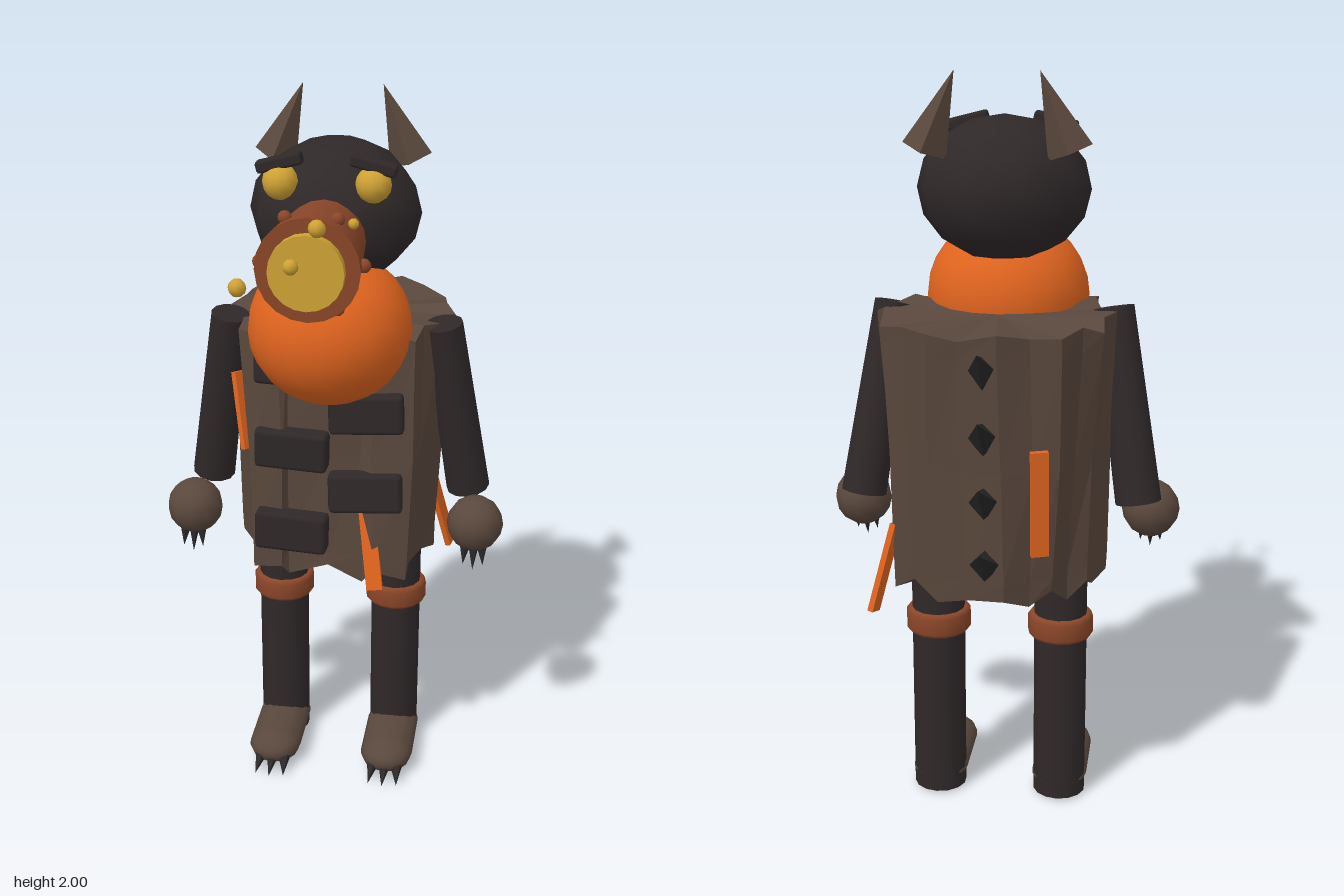
import * as THREE from 'three';
import { RoundedBoxGeometry } from 'three/addons/geometries/RoundedBoxGeometry.js';

const mat = (name, color) => {
  const m = new THREE.MeshStandardMaterial({ color });
  m.name = name;
  return m;
};
const V = (x, y, z) => new THREE.Vector3(x, y, z);
const flat = (g) => {
  const f = g.index ? g.toNonIndexed() : g;
  f.computeVertexNormals();
  return f;
};

export function createModel() {
  const black = mat('charcoal', 0x2f2829);
  const spikeDark = mat('spikeBlack', 0x2a2829);
  const brown = mat('barkBrown', 0x5a483d);
  const rust = mat('rust', 0x8a4629);
  const orange = mat('orange', 0xe0641f);
  const gold = mat('gold', 0xcfa234);

  const root = new THREE.Group();
  root.name = 'hornedCreature';
  const add = (name, geo, material, x = 0, y = 0, z = 0) => {
    const m = new THREE.Mesh(geo, material);
    m.name = name;
    m.position.set(x, y, z);
    root.add(m);
    return m;
  };
  const ball = (name, r, material, x, y, z, w = 12, h = 8) =>
    add(name, new THREE.SphereGeometry(r, w, h), material, x, y, z);
  // Aligns a y-up geometry of the right length between two points
  const between = (name, geo, material, a, b) => {
    const m = add(name, geo, material);
    m.position.copy(a).add(b).multiplyScalar(0.5);
    m.quaternion.setFromUnitVectors(V(0, 1, 0), b.clone().sub(a).normalize());
    return m;
  };
  const spike = (name, r, sides, material, a, b) =>
    between(name, flat(new THREE.ConeGeometry(r, a.distanceTo(b), sides)), material, a, b);

  // Trunk-like body: outline (x, z) lofted downward with pleats and ragged rims
  const outline = [
    [-0.24, 0.05], [-0.14, 0.07], [-0.12, 0.05], [0.0, 0.06], [0.1, 0.05], [0.13, 0.07], [0.24, 0.05],
    [0.25, -0.03], [0.285, -0.1], [0.315, -0.19], [0.29, -0.24], [0.285, -0.35], [0.22, -0.41],
    [0.145, -0.49], [0.06, -0.5], [-0.045, -0.525], [-0.12, -0.48], [-0.19, -0.47], [-0.23, -0.39],
    [-0.28, -0.35], [-0.28, -0.25], [-0.315, -0.17], [-0.27, -0.09], [-0.245, -0.03],
  ];
  const n = outline.length;
  const rows = [0, 0.08, 0.5, 0.92, 1].map((t) => outline.map(([x, z], i) => {
    const wob = 0.008 * Math.sin(i * 5.3 + t * 4);
    const s = THREE.MathUtils.lerp(0.9, 1, t);
    const rag = t === 0 ? 0.025 * Math.sin(i * 2.7) : t === 1 ? 0.012 * Math.sin(i * 3.9) : 0;
    const y = 0.675 + 0.71 * t + rag;
    const zz = z < -0.2 ? -0.2 + (z + 0.2) * THREE.MathUtils.lerp(0.78, 1, t) : z;
    return V(x * s + wob, y, zz + wob);
  }));
  const tri = [];
  const face = (...p) => p.forEach((v) => tri.push(v.x, v.y, v.z));
  const low = V(0, 0.71, -0.2), high = V(0, 1.38, -0.2);
  for (let i = 0; i < n; i++) {
    const j = (i + 1) % n;
    for (let r = 0; r < rows.length - 1; r++) {
      const [a, b, c, d] = [rows[r][i], rows[r][j], rows[r + 1][j], rows[r + 1][i]];
      face(a, b, c);
      face(a, c, d);
    }
    face(rows[0][j], rows[0][i], low);
    face(rows[4][i], rows[4][j], high);
  }
  const bodyGeo = new THREE.BufferGeometry();
  bodyGeo.setAttribute('position', new THREE.Float32BufferAttribute(tri, 3));
  add('body', flat(bodyGeo), brown);

  // Staggered chest plates
  [[-0.1, 1.295, 0.05], [0.105, 1.17, 0.06], [-0.1, 1.055, 0.065], [0.105, 0.937, 0.065], [-0.1, 0.812, 0.08]]
    .forEach(([x, y, z], i) => {
      const p = add('chestPlate', new RoundedBoxGeometry(0.205, 0.115, 0.06, 1, 0.014), black, x, y, z);
      p.rotation.set(0.05 * (i % 3 - 1), 0.06 * (i % 2 ? 1 : -1), 0.03 * (i % 2 ? 1 : -1));
    });

  // Spikes down the back
  for (let i = 0; i < 4; i++) {
    const y = 1.365 - i * 0.17;
    spike('backSpike', 0.042, 4, spikeDark, V(0, y - 0.075, -0.475 + i * 0.008), V(0, y, -0.592 + i * 0.003));
  }

  // Hanging orange ribbons: top, bottom, turn about own length
  [
    [V(0.105, 0.88, 0.04), V(0.138, 0.65, 0.097), 0],
    [V(0.26, 0.83, -0.305), V(0.318, 0.595, -0.348), 1.3],
    [V(-0.268, 1.23, -0.05), V(-0.235, 1.02, 0.0), 1],
    [V(-0.14, 1.1, -0.488), V(-0.14, 0.82, -0.47), 0.3],
  ].forEach(([a, b, turn]) => {
    const g = new THREE.BoxGeometry(0.045, a.distanceTo(b), 0.016);
    g.rotateY(turn);
    between('ribbon', g, orange, b, a);
  });

  // Orange throat pouch and head
  ball('throatPouch', 0.222, orange, 0, 1.397, 0.02, 20, 14).scale.y = 0.94;
  const head = ball('head', 0.231, black, 0, 1.692, -0.078, 10, 8);
  head.scale.y = 0.825;
  head.rotation.x = 0.1;

  // Barrel snout with rivets and gold mouth disc
  const barrel = new THREE.CylinderGeometry(0.13, 0.102, 0.33, 20);
  barrel.rotateX(Math.PI / 2);
  add('snout', barrel, rust, 0, 1.66, 0.225);
  const disc = new THREE.CylinderGeometry(0.094, 0.094, 0.04, 20);
  disc.rotateX(Math.PI / 2);
  add('mouthDisc', disc, gold, 0, 1.66, 0.397);
  for (let i = 0; i < 6; i++) {
    const a = i * Math.PI / 3;
    ball('snoutRivet', 0.018, rust, 0.129 * Math.cos(a), 1.66 + 0.129 * Math.sin(a), 0.325, 8, 6);
  }

  // Gold droplets floating ahead of the snout
  [[-0.133, 1.668, 0.57, 0.022], [-0.01, 1.72, 0.563, 0.019], [0.03, 1.775, 0.428, 0.022], [0.12, 1.797, 0.453, 0.013]]
    .forEach(([x, y, z, r]) => ball('droplet', r, gold, x, y, z, 8, 6));

  for (const s of [-1, 1]) {
    // Face
    ball('eye', 0.047, gold, s * 0.12, 1.8, 0.08);
    const brow = add('brow', new RoundedBoxGeometry(0.122, 0.032, 0.04, 1, 0.008), black, s * 0.121, 1.85, 0.083);
    brow.rotation.z = -s * 0.25;
    spike('horn', 0.06, 4, brown, V(s * 0.185, 1.8, -0.215), V(s * 0.108, 2.0, -0.215));

    // Arms, hands and claws
    const a = V(s * 0.295, 1.385, -0.088), b = V(s * 0.375, 0.87, -0.168);
    between('arm', new THREE.CylinderGeometry(0.054, 0.062, a.distanceTo(b), 12), black, b, a);
    ball('hand', 0.08, brown, s * 0.405, 0.812, -0.042);
    for (const k of [-1, 0, 1]) {
      spike('handClaw', 0.016, 5, spikeDark,
        V(s * 0.405 + k * 0.024, 0.755, -0.015), V(s * 0.405 + k * 0.028, k ? 0.7 : 0.683, 0.0));
    }

    // Legs, knee bands, feet and toe claws
    add('leg', new THREE.CylinderGeometry(0.073, 0.073, 0.75, 14), black, s * 0.17, 0.383, -0.18);
    add('kneeBand', new RoundedBoxGeometry(0.01, 0.01, 0.01, 1, 0.002), rust, s * 0.17, 0.515, -0.18);
    const band = [[0.07, -0.033], [0.082, -0.033], [0.09, -0.022], [0.09, 0.022], [0.082, 0.033], [0.07, 0.033]];
    add('kneeBand', new THREE.LatheGeometry(band.map(([x, y]) => new THREE.Vector2(x, y)), 16), rust, s * 0.17, 0.515, -0.18);
    const foot = new THREE.CapsuleGeometry(0.077, 0.186, 5, 12);
    foot.rotateX(Math.PI / 2);
    add('foot', foot, brown, s * 0.17, 0.053, -0.08).scale.y = 0.66;
    for (const k of [-1, 0, 1]) {
      spike('toeClaw', 0.018, 5, spikeDark,
        V(s * 0.17 + k * 0.036, 0.04, 0.065), V(s * 0.17 + k * 0.042, 0.012, k ? 0.125 : 0.135));
    }
  }
  return root;
}
